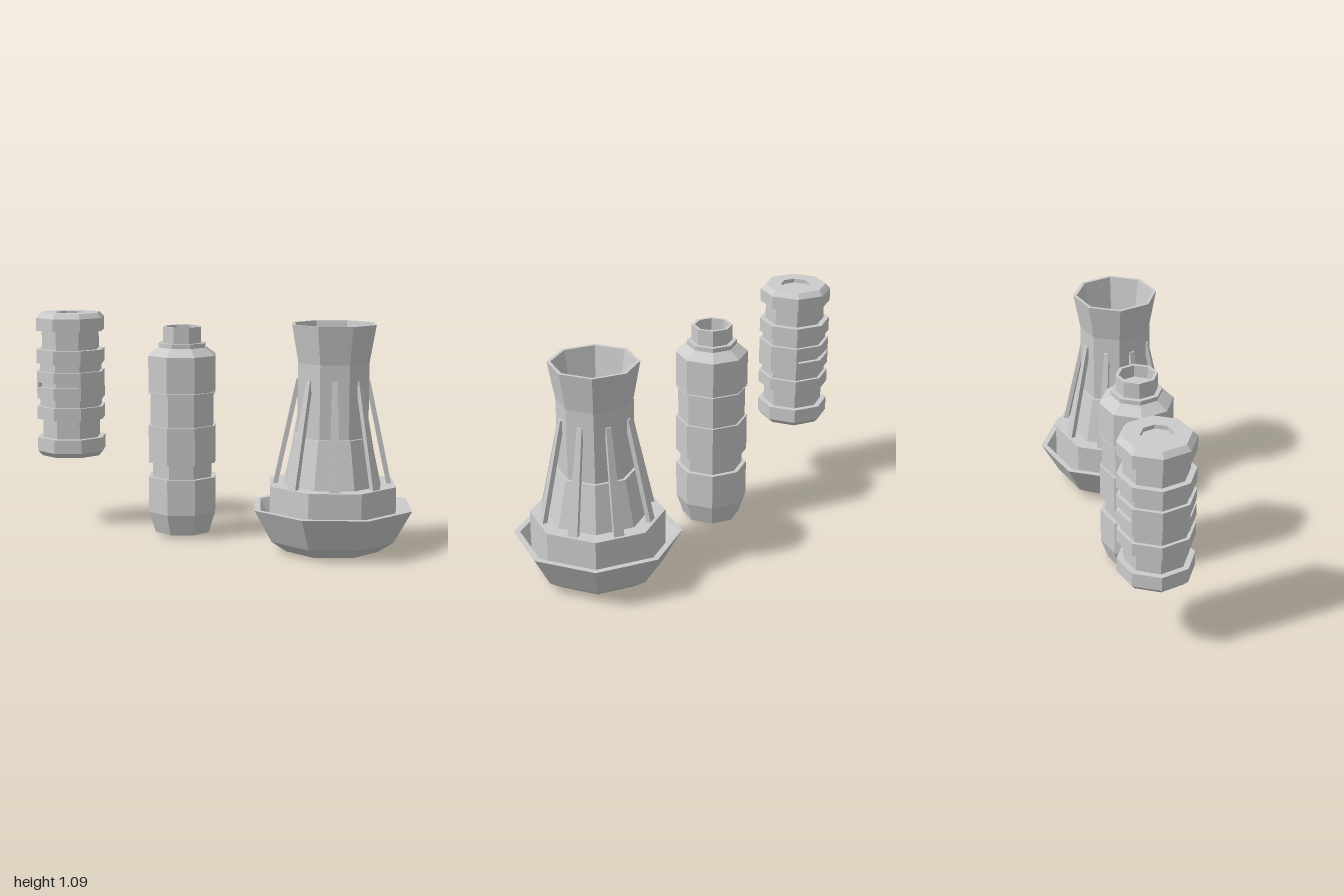
import * as THREE from 'three';

const material = new THREE.MeshStandardMaterial({ color: 0xcccccc, flatShading: true });

function addMesh(parent, name, geometry) {
  const flat = geometry.index ? geometry.toNonIndexed() : geometry;
  flat.computeVertexNormals();
  const mesh = new THREE.Mesh(flat, material);
  mesh.name = name;
  parent.add(mesh);
  return mesh;
}

// Eight-sided turned solid; profile is [radius, height] from bottom to top
function turned(profile) {
  return new THREE.LatheGeometry(profile.map(([r, y]) => new THREE.Vector2(r, y)), 8);
}

function part(root, name, x) {
  const group = new THREE.Group();
  group.name = name;
  group.position.x = x;
  root.add(group);
  return group;
}

// Ribbed grip with a shallow slot at front and back
function buildGrip(root) {
  const grip = part(root, 'ribbedGrip', -0.82);
  const R = 0.179, G = 0.15, S = 0.162;
  const slotLow = 0.715, slotHigh = 0.738;
  addMesh(grip, 'lowerGrip', turned([
    [0, 0.36], [0.155, 0.36], [R, 0.385], [R, 0.455], [G, 0.455], [G, 0.55], [R, 0.55], [R, 0.615],
    [S, 0.615], [S, 0.655], [R, 0.655], [R, slotLow], [0, slotLow],
  ]));
  addMesh(grip, 'upperGrip', turned([
    [0, slotHigh], [R, slotHigh], [R, 0.795], [S, 0.795], [S, 0.835], [R, 0.835], [R, 0.905],
    [G, 0.905], [G, 1.0], [R, 1.0], [R, 1.065], [0.155, 1.09], [0.075, 1.09], [0.075, 1.07], [0, 1.07],
  ]));
  // Layer between the halves, cut in at front and back
  const d = R * Math.SQRT1_2;
  const quarter = [[R, 0], [d, d], [0.115, 0.132], [0.107, 0.112], [0, 0.156]];
  const flip = quarter.slice(0, 4).reverse().map(([x, y]) => [-x, y]);
  const half = [...quarter, ...flip];
  const other = half.slice(1, -1).map(([x, y]) => [-x, -y]);
  const shape = new THREE.Shape([...half, ...other].map(([x, y]) => new THREE.Vector2(x, y)));
  const layer = new THREE.ExtrudeGeometry(shape, { depth: slotHigh - slotLow, bevelEnabled: false });
  layer.rotateX(-Math.PI / 2).translate(0, slotLow, 0);
  addMesh(grip, 'slotLayer', layer);
}

// Stepped canister with a hollow neck
function buildCanister(root) {
  const canister = part(root, 'canister', -0.19);
  const R = 0.177;
  addMesh(canister, 'canisterBody', turned([
    [0, 0.015], [0.142, 0.015], [R, 0.12], [R, 0.297], [0.155, 0.297], [0.155, 0.37], [R, 0.37],
    [R, 0.555], [0.166, 0.555], [0.166, 0.715], [R, 0.715], [R, 0.72], [0.166, 0.72], [0.166, 0.725],
    [R, 0.725], [R, 0.9], [0.125, 0.938], [0, 0.938],
  ]));
  addMesh(canister, 'canisterNeck', turned([
    [0.122, 0.93], [0.122, 0.96], [0.1, 0.96], [0.1, 1.04], [0.084, 1.04], [0.084, 0.98], [0, 0.98],
  ]));
}

// Flared nozzle on a bowl-shaped base, braced by eight struts
function buildNozzle(root) {
  const nozzle = part(root, 'nozzle', 0.6);
  addMesh(nozzle, 'base', turned([
    [0, 0], [0.235, 0], [0.312, 0.053], [0.4, 0.21], [0.37, 0.21], [0.32, 0.12], [0, 0.12],
  ]));
  addMesh(nozzle, 'collar', turned([[0.32, 0.11], [0.32, 0.32], [0, 0.32]]));
  addMesh(nozzle, 'tube', turned([
    [0.245, 0.32], [0.194, 0.548], [0.179, 0.548], [0.179, 0.9], [0.212, 1.08],
    [0.195, 1.08], [0.166, 0.9], [0.166, 0.5], [0, 0.5],
  ]));
  // Strut leaning inward and narrowing upward
  const strut = new THREE.BoxGeometry(1, 1, 1);
  const p = strut.attributes.position;
  for (let i = 0; i < p.count; i++) {
    const t = p.getY(i) + 0.5;
    const outer = THREE.MathUtils.lerp(0.282, 0.173, t);
    p.setXYZ(i,
      p.getX(i) * THREE.MathUtils.lerp(0.05, 0.024, t),
      THREE.MathUtils.lerp(0.315, 0.82, t),
      p.getZ(i) > 0 ? outer : outer - 0.022);
  }
  for (let i = 0; i < 8; i++) {
    addMesh(nozzle, 'strut', strut).rotation.y = (i + 0.5) * Math.PI / 4;
  }
}

export function createModel() {
  const root = new THREE.Group();
  root.name = 'attachmentSet';
  buildGrip(root);
  buildCanister(root);
  buildNozzle(root);
  return root;
}
